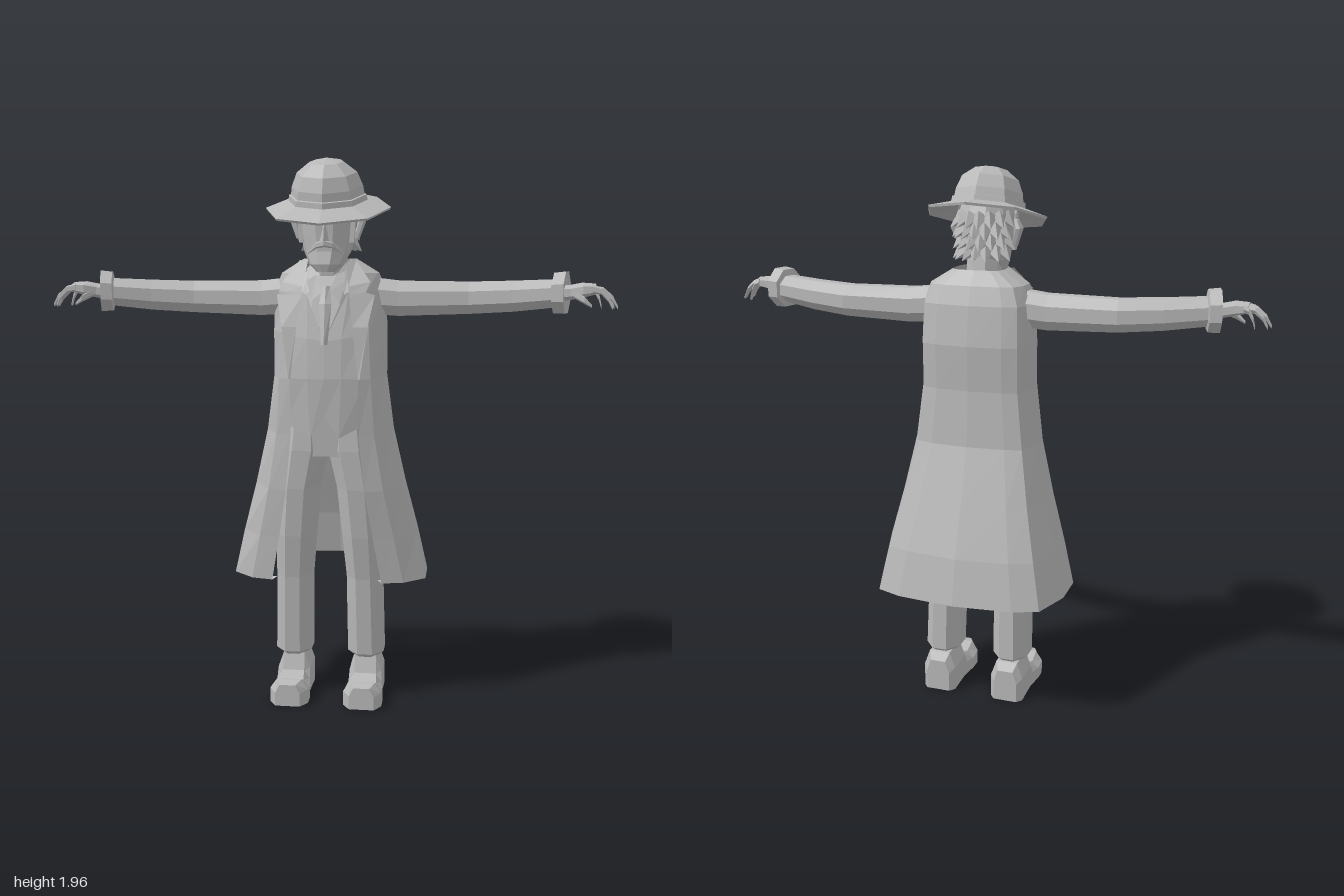
import * as THREE from 'three';

const grey = new THREE.MeshStandardMaterial({ color: 0xb8b8b8, flatShading: true, side: THREE.DoubleSide });
grey.name = 'grey';

// Skin between rings of [x, y, z] points
function loft(rings, closed = true, caps = true) {
  const n = rings[0].length, idx = [];
  for (let r = 0; r < rings.length - 1; r++)
    for (let i = 0; i < (closed ? n : n - 1); i++) {
      const a = r * n + i, b = r * n + (i + 1) % n;
      idx.push(a, b, b + n, a, b + n, a + n);
    }
  if (closed && caps) {
    const last = (rings.length - 1) * n;
    for (let i = 1; i < n - 1; i++) idx.push(0, i + 1, i, last, last + i, last + i + 1);
  }
  const g = new THREE.BufferGeometry();
  g.setAttribute('position', new THREE.Float32BufferAttribute(rings.flat(2), 3));
  g.setIndex(idx);
  g.computeVertexNormals();
  return g;
}

// Elliptic rings: level (around y) and along the arm (around x)
const angles = (n) => Array.from({ length: n }, (_, i) => ((i + 0.5) / n) * Math.PI * 2);
const levelRing = ([x, y, z, rx, rz], n = 8) =>
  angles(n).map((a) => [x + rx * Math.sin(a), y, z + rz * Math.cos(a)]);
const armRing = ([x, y, z, ry, rz], n = 8, skew = 0) =>
  angles(n).map((a) => [x - skew * rz * Math.cos(a), y + ry * Math.sin(a), z + rz * Math.cos(a)]);
// Mirror a ring to the other side, keeping its winding outward
const mirror = (ring) => ring.map(([x, y, z]) => [-x, y, z]).reverse();

// Coat outline at one height: front edge, side width and back depth
function coatRing([y, edgeX, edgeZ, w, back]) {
  const half = [
    [edgeX, y, edgeZ], [(edgeX + w) / 2, y, edgeZ - 0.018], [w, y, 0.03], [w, y, back * 0.36],
    [w * 0.86, y, back * 0.82], [w * 0.6, y, back * 0.93],
  ];
  return [...half, [0, y, back], ...mirror(half)];
}

export function createModel() {
  const model = new THREE.Group();
  const add = (name, geometry, parent = model) => {
    const m = new THREE.Mesh(geometry, grey);
    m.name = name;
    parent.add(m);
    return m;
  };

  // Long coat, open in front, with a turned-in hem
  const coat = [
    [0.455, 0.2, 0.12, 0.355, -0.315], [0.62, 0.17, 0.14, 0.318, -0.28], [0.8, 0.14, 0.165, 0.272, -0.22],
    [1, 0.12, 0.175, 0.228, -0.155], [1.2, 0.12, 0.185, 0.202, -0.14], [1.36, 0.105, 0.175, 0.202, -0.15],
    [1.5, 0.085, 0.145, 0.196, -0.132], [1.565, 0.075, 0.115, 0.172, -0.11], [1.615, 0.068, 0.09, 0.092, -0.07],
  ].map(coatRing);
  add('coat', loft(coat, false));
  add('coatHem', loft([coat[0].map(([x, y, z]) => [x * 0.92, y + 0.01, z * 0.92]), coat[0]], false));

  // Torso under the coat, neck and tie
  add('shirt', loft([
    [0, 0.92, 0.03, 0.16, 0.12], [0, 1.2, 0.035, 0.17, 0.14], [0, 1.38, 0.025, 0.17, 0.135],
    [0, 1.5, 0.01, 0.15, 0.115], [0, 1.57, 0.01, 0.085, 0.08],
  ].map((r) => levelRing(r, 10))));
  add('neck', loft([[0, 1.48, 0.02, 0.065, 0.07], [0, 1.66, 0.045, 0.06, 0.065]].map((r) => levelRing(r))));
  add('tie', loft([[1.32, 0.012, 0.182], [1.46, 0.022, 0.15], [1.52, 0.014, 0.12]]
    .map(([y, w, z]) => [[-w, y, z], [0, y, z + 0.012], [w, y, z]]), false));

  for (const s of [1, -1]) {
    const label = s > 0 ? 'left' : 'right';
    const sided = (rings) => (s > 0 ? rings : rings.map(mirror));
    const levels = (rows, n) => loft(sided(rows.map((r) => levelRing(r, n))));
    const limb = (rows, n, skew) => loft(sided(rows.map((r) => armRing(r, n, skew))));

    // Waistcoat half with pointed hem and V neck
    add(label + 'Waistcoat', loft(sided([
      [[0, 1.07, 0.178], [0.05, 0.99, 0.175], [0.145, 1.04, 0.15]],
      [[0, 1.2, 0.188], [0.06, 1.2, 0.184], [0.145, 1.2, 0.165]],
      [[0, 1.33, 0.18], [0.06, 1.34, 0.175], [0.13, 1.35, 0.155]],
      [[0.065, 1.49, 0.148], [0.08, 1.5, 0.142], [0.11, 1.5, 0.13]],
      [[0.065, 1.57, 0.11], [0.08, 1.57, 0.105], [0.1, 1.57, 0.09]],
    ]), false));

    // Notched lapel over the coat front, and shirt collar
    add(label + 'Lapel', loft(sided([
      [[0.118, 1.2, 0.19], [0.125, 1.2, 0.192]], [[0.098, 1.38, 0.178], [0.15, 1.38, 0.175]],
      [[0.085, 1.48, 0.156], [0.172, 1.49, 0.136]], [[0.083, 1.495, 0.152], [0.14, 1.5, 0.14]],
      [[0.08, 1.52, 0.145], [0.155, 1.535, 0.125]], [[0.068, 1.605, 0.1], [0.1, 1.61, 0.075]],
    ]), false));
    add(label + 'ShirtCollar', loft(sided([
      [[0.012, 1.5, 0.135], [0.05, 1.47, 0.14]], [[0.035, 1.56, 0.11], [0.07, 1.54, 0.115]],
      [[0.06, 1.6, 0.05], [0.08, 1.58, 0.05]],
    ]), false));

    // Trouser leg
    add(label + 'Leg', levels([
      [0.135, 0.15, -0.015, 0.055, 0.07], [0.135, 0.165, -0.015, 0.072, 0.09], [0.13, 0.46, 0.005, 0.07, 0.1],
      [0.122, 0.62, 0.025, 0.077, 0.11], [0.108, 0.8, 0.04, 0.08, 0.118],
      [0.085, 0.94, 0.04, 0.09, 0.125], [0.08, 1.03, 0.04, 0.08, 0.12],
    ]));

    // Shoe, cross-sections from heel to toe
    add(label + 'Shoe', loft(sided([
      [-0.112, 0.045, 0.12], [-0.09, 0.062, 0.15], [0.025, 0.06, 0.15], [0.045, 0.062, 0.085],
      [0.1, 0.07, 0.07], [0.15, 0.07, 0.088], [0.19, 0.045, 0.08],
    ].map(([z, w, h]) => [[-1, 0], [1, 0], [1, 0.6], [0.65, 1], [-0.65, 1], [-1, 0.6]]
      .map(([x, y]) => [0.135 + x * w, y * h, z])))));

    // Sleeve and flared cuff
    add(label + 'Sleeve', limb([
      [0.14, 1.485, 0, 0.07, 0.07], [0.25, 1.475, -0.005, 0.067, 0.065], [0.5, 1.478, -0.01, 0.061, 0.064],
      [0.65, 1.485, 0.02, 0.058, 0.061], [0.8, 1.497, 0.058, 0.052, 0.06],
    ], 8, 0.12));
    add(label + 'Cuff', limb([
      [0.785, 1.498, 0.056, 0.05, 0.055], [0.79, 1.498, 0.058, 0.075, 0.074],
      [0.83, 1.5, 0.066, 0.078, 0.076], [0.825, 1.5, 0.066, 0.05, 0.05],
    ], 8, 0.25));

    // Hand: palm, four curled fingers and thumb
    const hand = new THREE.Group();
    hand.name = label + 'Hand';
    model.add(hand);
    add('palm', limb([
      [0.78, 1.495, 0.06, 0.03, 0.035], [0.84, 1.5, 0.07, 0.026, 0.034],
      [0.88, 1.508, 0.08, 0.026, 0.044], [0.925, 1.512, 0.08, 0.019, 0.045],
    ], 6), hand);
    [0.95, 0.99, 1, 0.98].forEach((reach, f) => {
      const curl = [[0, 1.513, 0.014], [0.45, 1.506, 0.013], [0.8, 1.48, 0.012], [1, 1.45, 0.007]];
      add('finger', limb(curl.map(([t, y, r]) => [0.91 + (reach - 0.91) * t, y, 0.045 + f * 0.0235, r, 0.0115]), 5), hand);
    });
    add('thumb', limb([[0.85, 1.495, 0.095, 0.014, 0.014], [0.885, 1.475, 0.118, 0.013, 0.012], [0.91, 1.455, 0.118, 0.006, 0.006]], 5), hand);

    // Ear, sideburn, moustache half and eyebrow
    add(label + 'Ear', levels([[0.1, 1.685, 0.075, 0.012, 0.014], [0.122, 1.75, 0.066, 0.014, 0.028], [0.11, 1.78, 0.065, 0.01, 0.016]], 6));
    add(label + 'Sideburn', levels([[0.088, 1.67, 0.105, 0.012, 0.016], [0.095, 1.8, 0.1, 0.012, 0.022]], 4));
    add(label + 'Moustache', limb([[0, 1.667, 0.178, 0.013, 0.014], [0.03, 1.66, 0.168, 0.012, 0.012], [0.06, 1.635, 0.145, 0.004, 0.005]], 5));
    add(label + 'Eyebrow', limb([[0.015, 1.738, 0.177, 0.008, 0.01], [0.06, 1.748, 0.158, 0.007, 0.01]], 4));
  }

  // Head and nose
  add('head', loft([
    [0, 1.57, 0.135, 0.03, 0.035], [0, 1.595, 0.115, 0.06, 0.065], [0, 1.64, 0.08, 0.083, 0.092],
    [0, 1.7, 0.07, 0.096, 0.106], [0, 1.8, 0.07, 0.1, 0.115], [0, 1.87, 0.075, 0.085, 0.09],
  ].map((r) => levelRing(r, 10))));
  add('nose', loft([[1.675, 0.018, 0.2], [1.74, 0.008, 0.176]]
    .map(([y, w, tip]) => [[-w, y, 0.165], [0, y, tip], [w, y, 0.165]])));

  // Hair: rows of pointed tufts around the back of the head
  for (let row = 0; row < 4; row++)
    for (let i = 0; i < 7; i++) {
      const a = Math.PI + (i - 3.25 + (row % 2) * 0.5) * 0.38;
      const tuft = add('hairTuft', new THREE.ConeGeometry(0.03, 0.06, 4));
      tuft.position.set(Math.sin(a) * 0.1, 1.66 + row * 0.038, 0.068 + Math.cos(a) * (0.1 + row * 0.007));
      tuft.rotation.set(2.3, a, 0, 'YXZ');
    }

  // Tilted hat: octagonal brim, band and domed crown, slightly longer than wide
  const hat = new THREE.Group();
  hat.name = 'hat';
  hat.position.set(0, 1.792, 0.07);
  hat.rotation.x = 0.255;
  model.add(hat);
  const lathe = (pts) =>
    new THREE.LatheGeometry(pts.map(([x, y]) => new THREE.Vector2(x, y)), 8).scale(0.92, 1, 1.03);
  add('brim', lathe([[0.12, 0.02], [0.236, -0.008], [0.24, 0], [0.145, 0.028]]), hat);
  add('hatBand', lathe([[0.152, 0.022], [0.148, 0.045], [0.14, 0.047]]), hat);
  add('crown', lathe([[0.144, 0.025], [0.136, 0.075], [0.115, 0.122], [0.065, 0.158], [0, 0.172]]), hat);

  return model;
}
